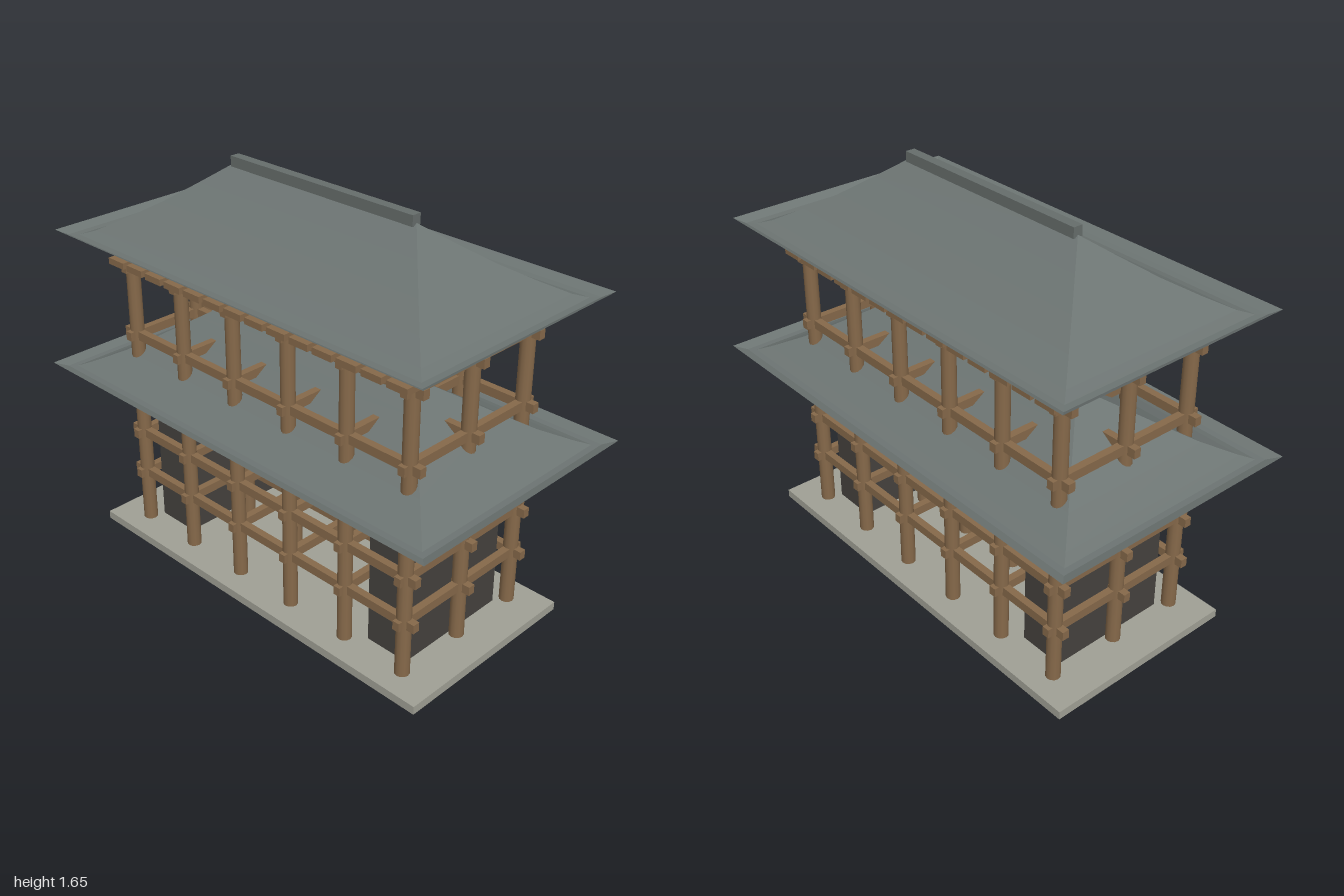
import * as THREE from 'three';

const paint = (color, extra = {}) => new THREE.MeshStandardMaterial({ color, ...extra });

export function createModel() {
  const model = new THREE.Group();
  model.name = 'templeGate';
  const wood = paint(0x86694a);
  const stone = paint(0xa0a095);
  const wall = paint(0x45423e);
  const tile = paint(0x6c7472, { side: THREE.DoubleSide, flatShading: true });
  const ridgeTile = paint(0x666d6b);

  const group = (name) => {
    const g = new THREE.Group();
    g.name = name;
    model.add(g);
    return g;
  };
  const box = (parent, name, material, size, position) => {
    const mesh = new THREE.Mesh(new THREE.BoxGeometry(...size), material);
    mesh.name = name;
    mesh.position.set(...position);
    parent.add(mesh);
  };

  // Stone platform and the two solid side chambers
  box(model, 'platform', stone, [1.76, 0.035, 0.84], [0, 0.0175, 0]);
  for (const s of [-1, 1]) box(model, 'sideChamber', wall, [0.19, 0.585, 0.515], [s * 0.605, 0.3275, 0]);

  // Columns: six across, three deep, running through both storeys
  const columnX = [0, 1, 2, 3, 4, 5].map((i) => (i - 2.5) * 0.291);
  const columnZ = [-0.31, 0, 0.31];
  const columns = group('columns');
  const columnGeometry = new THREE.CylinderGeometry(0.0285, 0.0295, 1.235, 12);
  for (const x of columnX) {
    for (const z of columnZ) {
      const column = new THREE.Mesh(columnGeometry, wood);
      column.name = 'column';
      column.position.set(x, 0.6525, z);
      columns.add(column);
    }
  }

  // Tie beams in both directions at every level
  const beams = group('tieBeams');
  for (const y of [0.268, 0.461, 0.655, 0.912, 1.206]) {
    for (const z of columnZ) box(beams, 'longBeam', wood, [1.572, 0.037, 0.03], [0, y, z]);
    for (const x of columnX) box(beams, 'crossBeam', wood, [0.03, 0.037, 0.71], [x, y, 0]);
  }

  // Rows of bracket blocks under the front and back eaves
  const brackets = group('eaveBrackets');
  const bracketRow = (count, width, y, height) => {
    for (let i = 0; i < count; i++) {
      const x = -0.727 + (1.454 * i) / (count - 1);
      for (const s of [-1, 1]) box(brackets, 'bracket', wood, [width, height, 0.135], [x, y, s * 0.322]);
    }
  };
  bracketRow(13, 0.1, 0.703, 0.024);
  bracketRow(14, 0.09, 1.237, 0.026);

  // Hipped roof shell: rectangular rings shrinking from the upturned eave to the ridge
  const roof = (name, halfX, halfZ, ridgeX, profile) => {
    const rings = profile.map(([f, y]) => {
      const x = halfX + (ridgeX - halfX) * f;
      const z = halfZ * (1 - f);
      return [[x, y, z], [x, y, -z], [-x, y, -z], [-x, y, z]];
    });
    const points = [];
    for (let r = 0; r + 1 < rings.length; r++) {
      for (let i = 0; i < 4; i++) {
        const j = (i + 1) % 4;
        const [a, b, c, d] = [rings[r][i], rings[r][j], rings[r + 1][j], rings[r + 1][i]];
        const sharesTip = r + 2 === rings.length && i % 2 === 0;
        points.push(...a, ...b, ...c);
        if (!sharesTip) points.push(...a, ...c, ...d);
      }
    }
    const geometry = new THREE.BufferGeometry();
    geometry.setAttribute('position', new THREE.Float32BufferAttribute(points, 3));
    geometry.computeVertexNormals();
    const mesh = new THREE.Mesh(geometry, tile);
    mesh.name = name;
    model.add(mesh);
  };
  roof('lowerRoof', 0.998, 0.545, 0.48, [
    [0, 0.767], [0.08, 0.752], [0.13, 0.752], [0.21, 0.769],
    [0.4, 0.82], [0.6, 0.89], [0.8, 0.963], [1, 1.035],
  ]);
  box(model, 'lowerRidge', ridgeTile, [0.965, 0.04, 0.04], [0, 1.043, 0]);
  roof('upperRoof', 0.937, 0.512, 0.455, [
    [0, 1.354], [0.07, 1.334], [0.13, 1.333], [0.22, 1.348],
    [0.4, 1.4], [0.6, 1.464], [0.8, 1.538], [1, 1.615],
  ]);
  box(model, 'upperRidge', ridgeTile, [0.91, 0.042, 0.04], [0, 1.626, 0]);

  return model;
}
